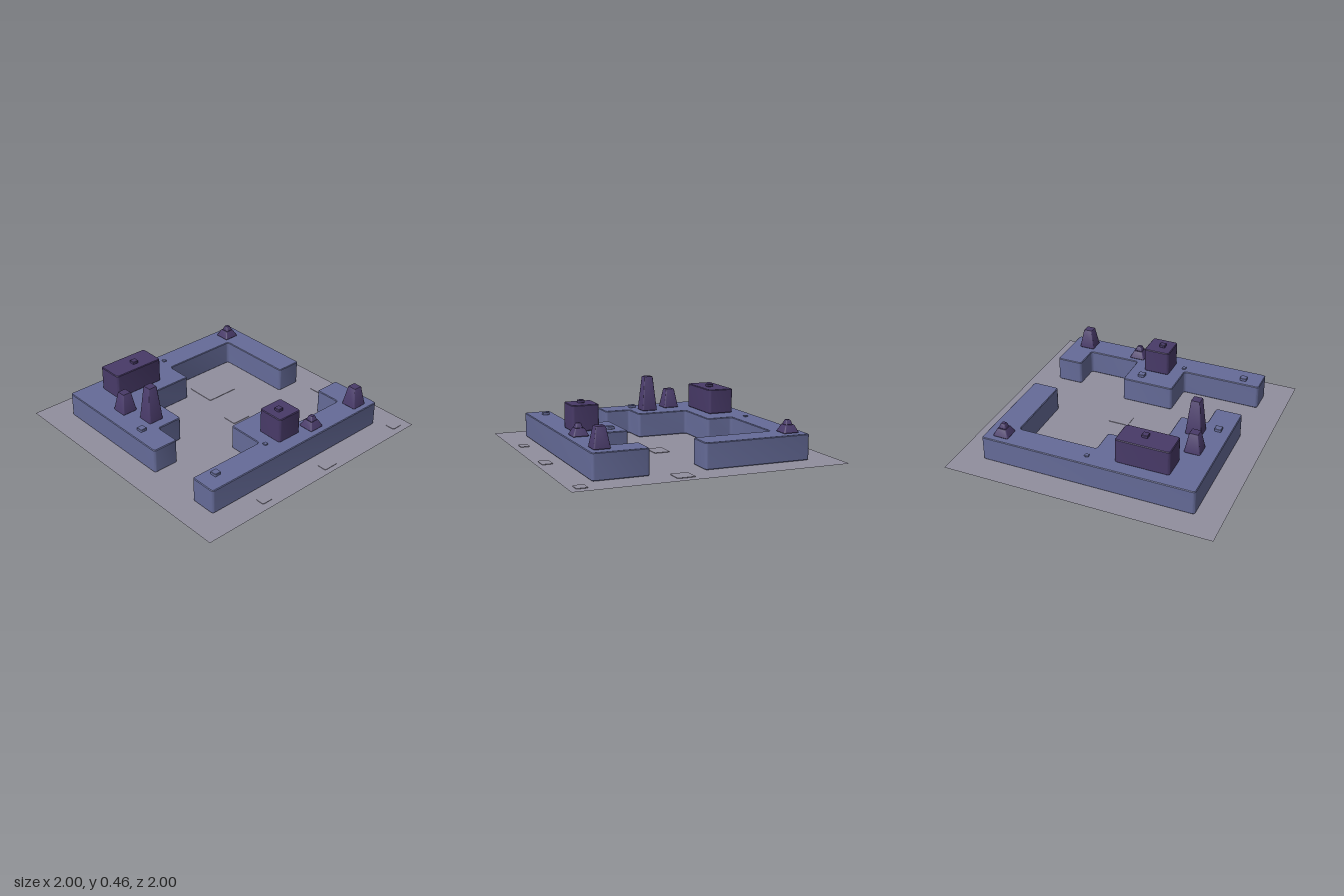
import * as THREE from 'three';
import { toCreasedNormals } from 'three/addons/utils/BufferGeometryUtils.js';

const mat = (name, color, side = THREE.FrontSide) => {
  const m = new THREE.MeshStandardMaterial({ color, side });
  m.name = name;
  return m;
};

// Upright prism with rounded plan corners and a slightly bevelled rim; points are [x, z].
function prism(points, y0, y1, radius, bevel) {
  const pts = points.map(p => new THREE.Vector2(...p));
  const shape = new THREE.Shape();
  pts.forEach((p, i) => {
    const prev = pts[(i + pts.length - 1) % pts.length];
    const next = pts[(i + 1) % pts.length];
    const a = p.clone().add(prev.clone().sub(p).setLength(radius));
    const b = p.clone().add(next.clone().sub(p).setLength(radius));
    if (i === 0) shape.moveTo(a.x, a.y);
    else shape.lineTo(a.x, a.y);
    shape.quadraticCurveTo(p.x, p.y, b.x, b.y);
  });
  shape.closePath();
  const geo = new THREE.ExtrudeGeometry(shape, {
    depth: y1 - y0 - 2 * bevel, bevelEnabled: bevel > 0, bevelThickness: bevel,
    bevelSize: bevel, bevelOffset: -bevel, bevelSegments: 1, curveSegments: 3,
  });
  geo.rotateX(Math.PI / 2);
  geo.translate(0, y1 - bevel, 0);
  return geo;
}

const rect = (w, d) => [[-w / 2, -d / 2], [w / 2, -d / 2], [w / 2, d / 2], [-w / 2, d / 2]];

// Prism narrowing towards its top.
function taperedPrism(width, topWidth, y0, y1) {
  const geo = prism(rect(width, width), y0, y1, 0.012, 0.004);
  const pos = geo.attributes.position;
  for (let i = 0; i < pos.count; i++) {
    const t = (pos.getY(i) - y0) / (y1 - y0);
    const s = 1 + (topWidth / width - 1) * t;
    pos.setX(i, pos.getX(i) * s);
    pos.setZ(i, pos.getZ(i) * s);
  }
  return geo;
}

export function createModel() {
  const group = new THREE.Group();
  const floorGrey = mat('floor grey', 0x918e9e, THREE.DoubleSide);
  const wallBlue = mat('wall blue', 0x656b98);
  const towerPurple = mat('tower purple', 0x483a68);
  const WALL_TOP = 0.187;

  const add = (name, geo, material, x = 0, z = 0) => {
    const mesh = new THREE.Mesh(toCreasedNormals(geo, 0.6), material);
    mesh.name = name;
    mesh.position.set(x, 0, z);
    group.add(mesh);
  };

  // Ground sheet with faint paving slabs
  add('ground', new THREE.PlaneGeometry(2, 2).rotateX(-Math.PI / 2), floorGrey);
  const slabs = [[0.23, -0.37, 0.26, 0.24], [0.87, 0.2, 0.13, 0.13], [0.16, 0.92, 0.12, 0.08],
    [0.89, 0.91, 0.09, 0.08], [-0.44, 0.91, 0.09, 0.07], [0.1, 0.05, 0.16, 0.12]];
  for (const [x, z, w, d] of slabs) add('pavingSlab', prism(rect(w, d), 0, 0.004, 0.015, 0), floorGrey, x, z);

  // Two stepped wall blocks
  add('backWall', prism([[-0.8, -0.8], [0.8, -0.8], [0.8, 0], [0.6, 0], [0.6, -0.6], [0, -0.6],
    [0, -0.4], [-0.4, -0.4], [-0.4, 0], [-0.6, 0], [-0.6, 0.2], [-0.8, 0.2]],
  0.002, WALL_TOP, 0.02, 0.005), wallBlue);
  add('frontWall', prism([[-0.8, 0.6], [-0.2, 0.6], [-0.2, 0.32], [0.2, 0.32], [0.2, 0.6],
    [0.6, 0.6], [0.6, 0.4], [0.8, 0.4], [0.8, 0.8], [-0.8, 0.8]],
  0.002, WALL_TOP, 0.02, 0.005), wallBlue);

  // Upper blocks, each with a small roof stud
  const blocks = [[-0.38, -0.6, 0.4, 0.2, -0.36, -0.585], [0, 0.6, 0.2, 0.2, -0.015, 0.6]];
  for (const [x, z, w, d, sx, sz] of blocks) {
    add('upperBlock', prism(rect(w, d), WALL_TOP, 0.374, 0.02, 0.005), towerPurple, x, z);
    add('roofStud', prism(rect(0.046, 0.046), 0.373, 0.395, 0.008, 0.003), towerPurple, sx, sz);
  }

  // Tall tapered spires
  const spires = [[-0.63, -0.35, 0.335], [-0.56, -0.135, 0.455], [0.663, 0.7, 0.335]];
  for (const [x, z, top] of spires) {
    add('spire', taperedPrism(0.122, 0.068, WALL_TOP, top), towerPurple, x, z);
  }

  // Low two-stage spires
  for (const [x, z] of [[0.675, -0.695], [0.22, 0.695]]) {
    add('lowSpireBase', taperedPrism(0.122, 0.068, WALL_TOP, 0.242), towerPurple, x, z);
    add('lowSpireTip', taperedPrism(0.06, 0.032, 0.24, 0.276), towerPurple, x, z + 0.003);
  }

  // Small studs on the wall tops
  const studs = [[-0.705, -0.06, 0.05, 0.208], [-0.66, 0.672, 0.05, 0.208], [0.083, 0.415, 0.05, 0.208],
    [0.022, -0.71, 0.03, 0.197], [-0.18, 0.645, 0.03, 0.197]];
  for (const [x, z, w, top] of studs) {
    add('wallStud', prism(rect(w, w), WALL_TOP - 0.001, top, 0.007, 0.002), wallBlue, x, z);
  }
  return group;
}
